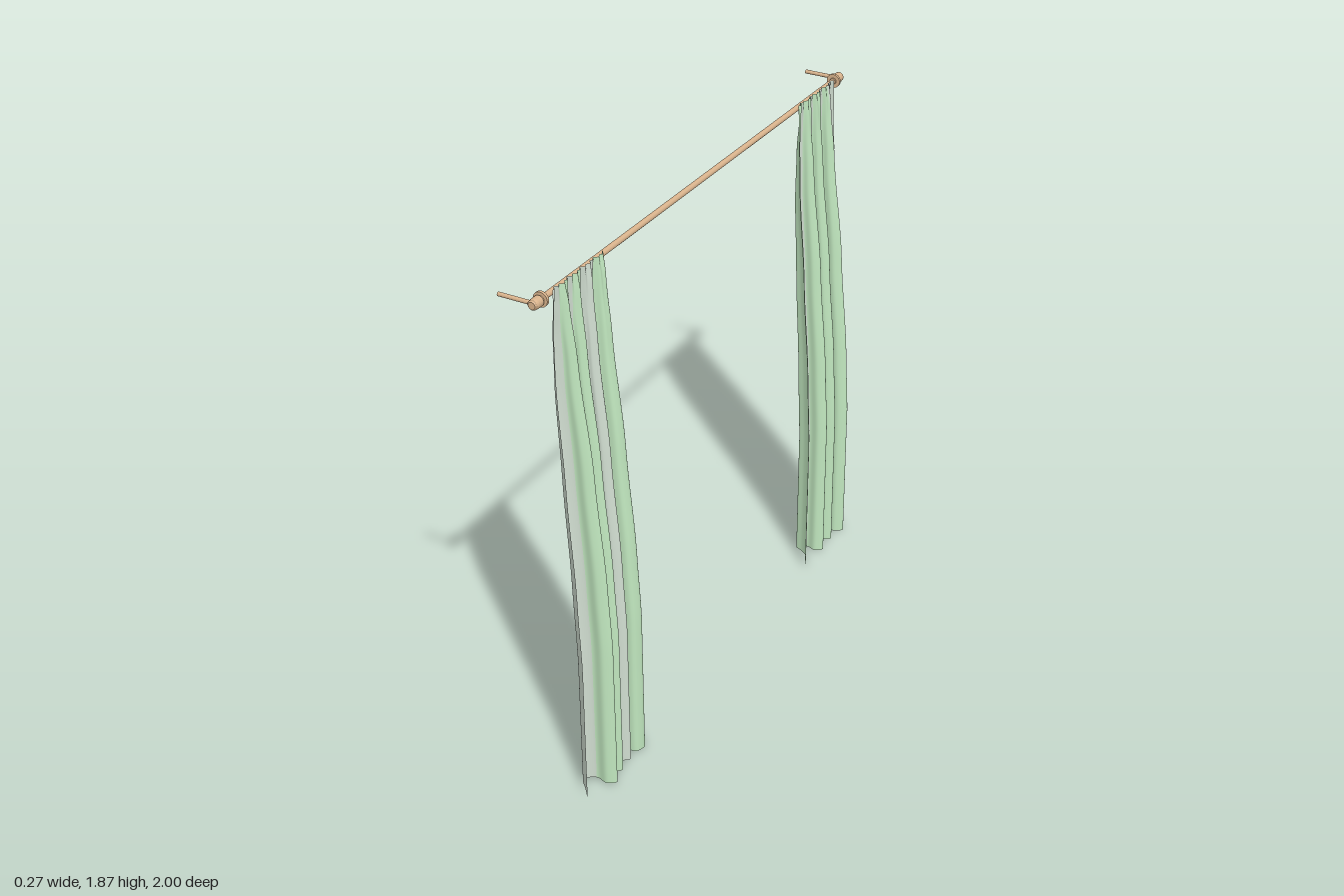
import * as THREE from 'three';

const mat = (name, color, side = THREE.FrontSide) => {
  const m = new THREE.MeshStandardMaterial({ color, side });
  m.name = name;
  return m;
};

// eased lookup through [key, value] pairs with ascending keys
function lookup(table, k) {
  for (let i = 1; i < table.length; i++) {
    const [a, va] = table[i - 1], [b, vb] = table[i];
    if (k <= b) return THREE.MathUtils.lerp(va, vb, THREE.MathUtils.smoothstep(k, a, b) * 0.4 + (k - a) / (b - a) * 0.6);
  }
  return table[table.length - 1][1];
}

// side silhouette of the hanging cloth, and how gathered it is at each height
const BACK = [[0, 0.026], [0.5, 0.026], [0.8, 0.015], [1.2, -0.004], [1.5, -0.015], [1.7, -0.012], [1.8, -0.002], [1.864, 0.005]];
const FRONT = [[0, 0.132], [0.55, 0.13], [0.8, 0.117], [1.2, 0.084], [1.6, 0.043], [1.8, 0.024], [1.864, 0.014]];
const GATHER = [[0, 0], [0.6, 0.06], [1.2, 0.25], [1.6, 0.52], [1.8, 0.85], [1.864, 1]];

// hem line as [depth 0..1, z]: outer flap, finger-shaped folds, inner flap
function hemPoints({ outer, folds, inner }) {
  const pts = [...outer];
  folds.forEach(([c, w, len], i) => {
    const next = i < folds.length - 1 ? folds[i + 1][0] + folds[i + 1][1] : inner[0][1];
    pts.push([0.32, c + w * 0.65], [len * 0.75, c + w], [len, c], [len * 0.75, c - w], [0.32, c - w * 0.65]);
    pts.push([0, (c - w + next) / 2]);
  });
  return pts.concat(inner);
}

function curtain(name, spec, sign, materials) {
  const pts = hemPoints(spec);
  const curve = new THREE.CatmullRomCurve3(pts.map(([u, z]) => new THREE.Vector3(u, 0, z)), false, 'centripetal');
  const per = 6, cols = (pts.length - 1) * per, rows = 48, top = 1.864;
  const hem = curve.getPoints(cols);
  const pos = [];
  for (let r = 0; r <= rows; r++) {
    const y = top * (1 - (1 - r / rows) ** 1.5);
    const back = lookup(BACK, y), front = lookup(FRONT, y), g = lookup(GATHER, y);
    for (let c = 0; c <= cols; c++) {
      const s = c / cols, p = hem[c];
      const ripple = 0.004 * g ** 3 * Math.sin(s * 75);
      const x = back + Math.min(1, Math.max(0, p.x)) * (front - back) + ripple;
      const z = THREE.MathUtils.lerp(p.z, THREE.MathUtils.lerp(spec.top[0], spec.top[1], s), g);
      pos.push(x, y, sign * z);
    }
  }
  // vertical colour stripes: grey outer flap and valleys, coloured fold tips, green inner flap
  const segColor = (seg) => {
    const k = seg - spec.outer.length + 1;
    if (k < 0) return 1;
    const fold = Math.floor(k / 6), step = k % 6;
    if (fold >= spec.folds.length) return 0;
    if (step === 0 || step === 5) return 1;
    return spec.stripes[fold][step < 3 ? 0 : 1];
  };
  const geo = new THREE.BufferGeometry(), index = [];
  for (let seg = 0; seg < pts.length - 1; seg++) {
    const start = index.length;
    for (let c = seg * per; c < (seg + 1) * per; c++) {
      for (let r = 0; r < rows; r++) {
        const a = r * (cols + 1) + c, b = a + 1, d = a + cols + 1, e = d + 1;
        if (sign > 0) index.push(a, b, d, b, e, d);
        else index.push(a, d, b, b, d, e);
      }
    }
    geo.addGroup(start, index.length - start, segColor(seg));
  }
  geo.setAttribute('position', new THREE.Float32BufferAttribute(pos, 3));
  geo.setIndex(index);
  geo.computeVertexNormals();
  const mesh = new THREE.Mesh(geo, materials);
  mesh.name = name;
  return mesh;
}

export function createModel() {
  const group = new THREE.Group();
  group.name = 'curtainSet';
  const wood = mat('wood', 0xd9b38c);
  const cloth = [mat('greenCloth', 0xc0e6be, THREE.DoubleSide), mat('greyCloth', 0xd0ddd0, THREE.DoubleSide)];
  const RX = -0.009, RY = 1.844;

  // rod along z
  const rod = new THREE.Mesh(new THREE.CylinderGeometry(0.01, 0.01, 1.92, 20), wood);
  rod.name = 'rod';
  rod.rotation.x = Math.PI / 2;
  rod.position.set(RX, RY, 0);
  group.add(rod);

  // turned end caps and wall brackets
  const profile = [[0, 0.94], [0.012, 0.94], [0.012, 0.945], [0.025, 0.945], [0.025, 0.955], [0.014, 0.955],
    [0.014, 0.958], [0.018, 0.962], [0.018, 0.985], [0.016, 0.996], [0.012, 1], [0, 1]];
  for (const s of [1, -1]) {
    const cap = new THREE.Mesh(
      new THREE.LatheGeometry(profile.map(([r, h]) => new THREE.Vector2(r, h)), 24).toNonIndexed(), wood);
    cap.geometry.computeVertexNormals();
    cap.name = s > 0 ? 'frontEndCap' : 'backEndCap';
    cap.rotation.x = s * Math.PI / 2;
    cap.position.set(RX, RY, 0);
    const bracket = new THREE.Mesh(new THREE.CylinderGeometry(0.007, 0.007, 0.123, 16), wood);
    bracket.name = s > 0 ? 'frontBracket' : 'backBracket';
    bracket.rotation.z = Math.PI / 2;
    bracket.position.set(-0.0745, RY - 0.001, s * 0.982);
    group.add(cap, bracket);
  }

  // gathered striped curtains, listed from outer edge to inner edge (0 green, 1 grey)
  group.add(curtain('frontCurtain', {
    outer: [[0.6, 0.957], [0.3, 0.92], [0, 0.882]],
    folds: [[0.838, 0.022, 1], [0.776, 0.02, 0.85], [0.716, 0.02, 0.8]],
    inner: [[0.35, 0.676], [0.8, 0.668], [0.88, 0.64], [0.6, 0.607], [0.1, 0.601]],
    stripes: [[0, 0], [0, 0], [1, 1]],
    top: [0.918, 0.632],
  }, 1, cloth));
  group.add(curtain('backCurtain', {
    outer: [[0.45, 0.947], [0.25, 0.93], [0, 0.915]],
    folds: [[0.88, 0.025, 1], [0.802, 0.021, 0.87], [0.72, 0.022, 0.92]],
    inner: [[0.3, 0.668], [0.6, 0.64], [0.85, 0.58]],
    stripes: [[1, 0], [0, 0], [0, 0]],
    top: [0.914, 0.636],
  }, -1, cloth));

  return group;
}
